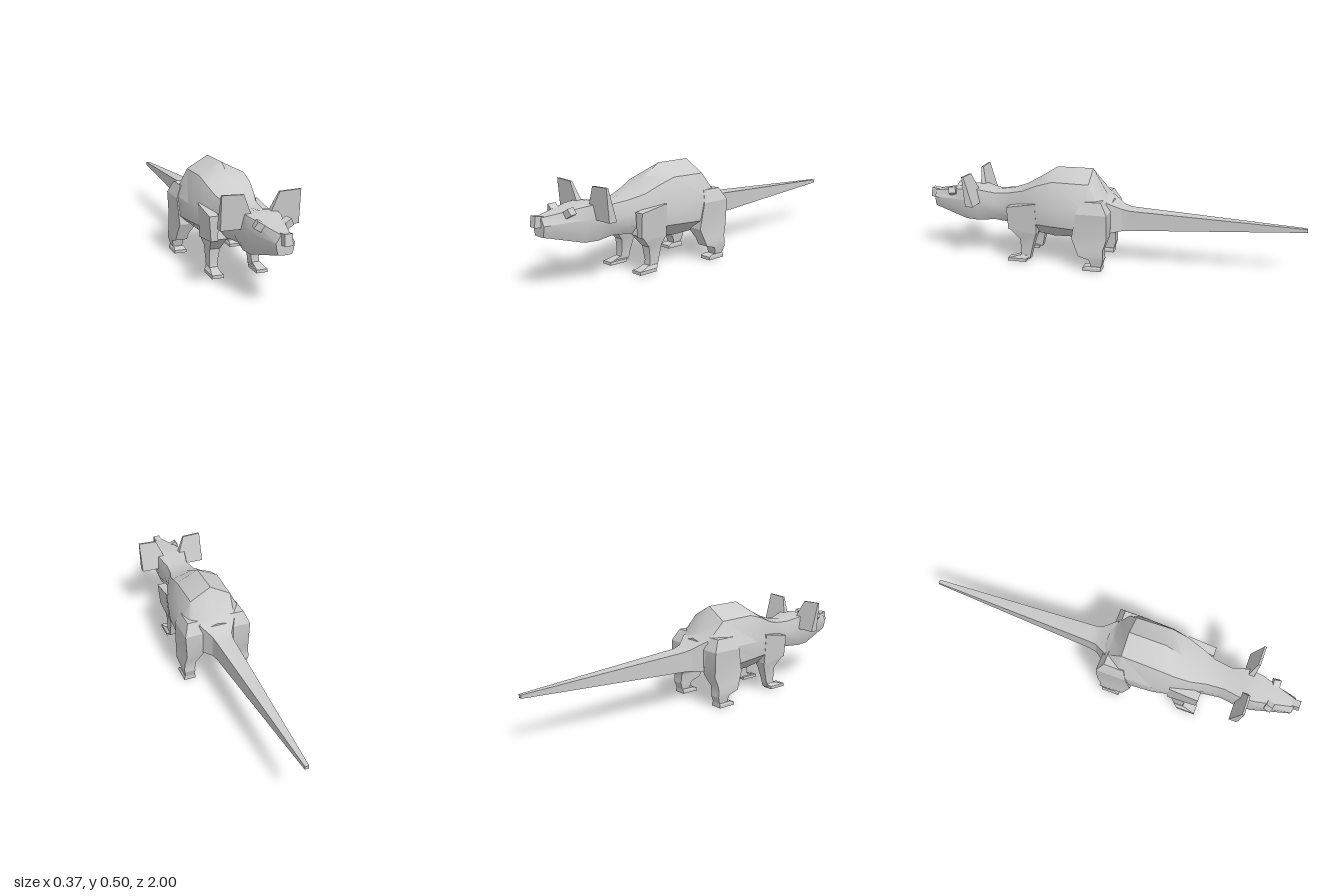
import * as THREE from 'three';
import { toCreasedNormals } from 'three/addons/utils/BufferGeometryUtils.js';

const material = new THREE.MeshStandardMaterial({ color: 0xcccccc });

// Skin a list of rings (each counter-clockwise around the travel direction) and cap both ends.
function loft(name, rings, crease = 0.5) {
  const n = rings[0].length;
  const index = [];
  for (let r = 0; r < rings.length - 1; r++) {
    for (let i = 0; i < n; i++) {
      const a = r * n + i, b = r * n + (i + 1) % n;
      index.push(a, b, b + n, a, b + n, a + n);
    }
  }
  const last = (rings.length - 1) * n;
  for (let i = 1; i < n - 1; i++) {
    index.push(0, i + 1, i, last, last + i, last + i + 1);
  }
  const geometry = new THREE.BufferGeometry();
  geometry.setAttribute('position', new THREE.Float32BufferAttribute(rings.flat(2), 3));
  geometry.setIndex(index);
  const mesh = new THREE.Mesh(toCreasedNormals(geometry, crease), material);
  mesh.name = name;
  return mesh;
}

// Mirror rings to the other side, keeping the winding outward.
const mirror = (rings, side) => side > 0 ? rings
  : rings.map(ring => ring.map(([x, y, z]) => [-x, y, z]).reverse());

// Four-cornered ring for upward lofts; front and back edges may differ in height.
const quad = ([yFront, x0, x1, z0, z1, yBack = yFront]) =>
  [[x0, yFront, z1], [x1, yFront, z1], [x1, yBack, z0], [x0, yBack, z0]];

// Symmetric body ring: top centre, four side points, bottom centre.
const bodyRing = ([z, top, bottom, ...side]) => {
  const half = [];
  for (let i = 0; i < side.length; i += 2) half.push([side[i], side[i + 1], z]);
  return [[0, top, z], ...half.map(([x, y]) => [-x, y, z]), [0, bottom, z], ...half.slice().reverse()];
};

export function createModel() {
  const model = new THREE.Group();
  model.name = 'rodent';

  // Body, neck and head in one skin, from rump to snout
  const body = [
    [-0.02, 0.345, 0.18, 0.06, 0.33, 0.10, 0.28, 0.09, 0.21, 0.05, 0.18],
    [0.01, 0.36, 0.17, 0.10, 0.352, 0.155, 0.30, 0.15, 0.22, 0.08, 0.17],
    [0.09, 0.50, 0.15, 0.11, 0.437, 0.176, 0.31, 0.172, 0.21, 0.09, 0.153],
    [0.28, 0.50, 0.148, 0.115, 0.442, 0.17, 0.31, 0.163, 0.22, 0.09, 0.15],
    [0.37, 0.445, 0.16, 0.11, 0.415, 0.148, 0.31, 0.143, 0.22, 0.085, 0.162],
    [0.45, 0.40, 0.18, 0.095, 0.38, 0.122, 0.30, 0.115, 0.23, 0.075, 0.18],
    [0.53, 0.372, 0.197, 0.07, 0.36, 0.09, 0.29, 0.085, 0.24, 0.06, 0.197],
    [0.62, 0.36, 0.205, 0.06, 0.352, 0.078, 0.29, 0.073, 0.24, 0.055, 0.205],
    [0.71, 0.373, 0.2, 0.08, 0.37, 0.092, 0.31, 0.085, 0.24, 0.07, 0.2],
    [0.78, 0.372, 0.2, 0.072, 0.366, 0.085, 0.31, 0.08, 0.24, 0.066, 0.203],
    [0.97, 0.342, 0.253, 0.02, 0.34, 0.042, 0.305, 0.037, 0.275, 0.031, 0.255],
  ];
  model.add(loft('body', body.map(bodyRing), 0.55));

  // Tail, square in section, from tip to rump
  const tail = [
    [-1, 0.01, 0.233, 0.25],
    [-0.11, 0.046, 0.19, 0.295],
    [-0.07, 0.053, 0.187, 0.305],
    [0, 0.098, 0.18, 0.345],
  ].map(([z, w, y0, y1]) => [[-w, y1, z], [-w, y0, z], [w, y0, z], [w, y1, z]]);
  model.add(loft('tail', tail, 0.3));

  // Nose
  const nose = new THREE.Mesh(new THREE.BoxGeometry(0.036, 0.05, 0.042), material);
  nose.name = 'nose';
  nose.position.set(0, 0.322, 0.978);
  nose.rotation.x = -0.15;
  model.add(nose);

  // Leg parts, listed from the bottom up
  const legParts = {
    FrontFoot: [[0.008, 0.083, 0.14, 0.425, 0.525], [0.024, 0.083, 0.14, 0.425, 0.525],
      [0.028, 0.088, 0.135, 0.415, 0.50], [0.04, 0.088, 0.128, 0.405, 0.465]],
    FrontLeg: [[0.02, 0.088, 0.126, 0.408, 0.46], [0.06, 0.087, 0.126, 0.398, 0.452],
      [0.13, 0.076, 0.127, 0.38, 0.458], [0.19, 0.062, 0.142, 0.362, 0.51, 0.175],
      [0.23, 0.08, 0.14, 0.365, 0.50]],
    Shoulder: [[0.185, 0.11, 0.143, 0.362, 0.515, 0.165], [0.305, 0.105, 0.152, 0.365, 0.518, 0.33]],
    HindFoot: [[0.003, 0.12, 0.183, 0.01, 0.107], [0.018, 0.12, 0.183, 0.01, 0.107],
      [0.026, 0.125, 0.178, 0.01, 0.085]],
    HindLeg: [[0.02, 0.13, 0.176, 0.012, 0.06], [0.063, 0.125, 0.184, -0.002, 0.072],
      [0.08, 0.125, 0.185, 0, 0.128], [0.115, 0.12, 0.181, 0, 0.142],
      [0.17, 0.085, 0.174, -0.018, 0.165], [0.30, 0.08, 0.18, -0.02, 0.14],
      [0.36, 0.08, 0.155, 0.015, 0.12]],
  };

  for (const side of [1, -1]) {
    const prefix = side > 0 ? 'left' : 'right';
    for (const [name, rows] of Object.entries(legParts)) {
      model.add(loft(prefix + name, mirror(rows.map(quad), side), 0.4));
    }

    // Ear: five-cornered plate, thick at the base and thin at the top
    const outline = [[0.045, 0.362], [0.09, 0.302], [0.184, 0.302], [0.184, 0.46], [0.083, 0.456]];
    const earFace = (low, high) => outline.map(([x, y]) =>
      [x, y, low + (high - low) * (y - 0.302) / 0.158]);
    model.add(loft(prefix + 'Ear', mirror([earFace(0.69, 0.734), earFace(0.732, 0.744)], side), 0.2));

    // Eye
    const eye = new THREE.Mesh(new THREE.BoxGeometry(0.036, 0.034, 0.036), material);
    eye.name = prefix + 'Eye';
    eye.position.set(side * 0.064, 0.35, 0.853);
    eye.rotation.set(0.1, side * 0.2, side * 0.5);
    model.add(eye);
  }
  return model;
}
